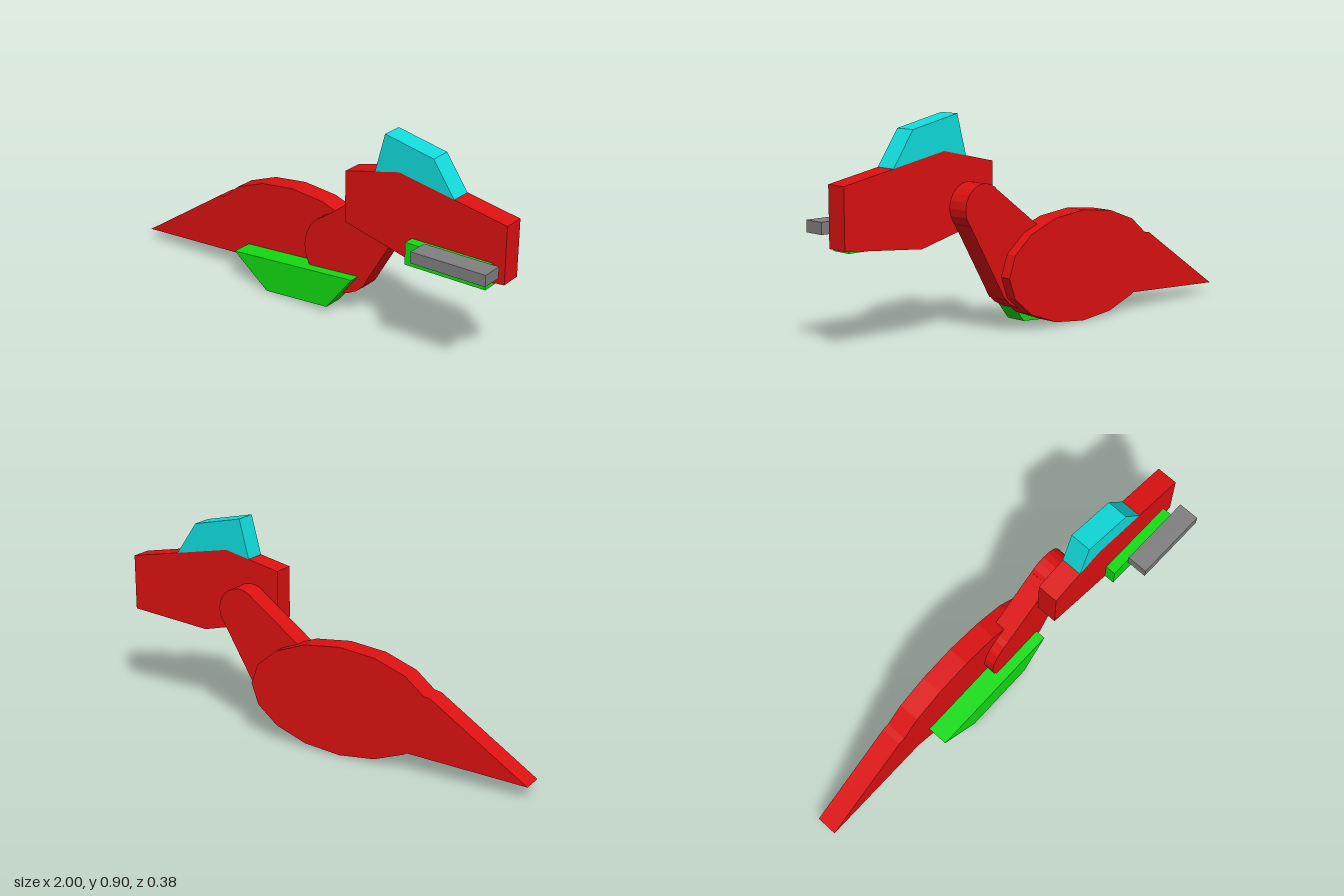
import * as THREE from 'three';

const T = 0.095; // thickness of every slab

export function createModel() {
  const group = new THREE.Group();
  const paint = (name, color) => {
    const m = new THREE.MeshStandardMaterial({ color });
    m.name = name;
    return m;
  };
  const red = paint('red', 0xdd1111);
  const green = paint('green', 0x11dd11);
  const cyan = paint('cyan', 0x11dddd);
  const gray = paint('gray', 0x808080);

  // Flat slab cut from an outline in x/y, its back face at z
  const slab = (name, material, points, z) => {
    const shape = new THREE.Shape(points.map(([x, y]) => new THREE.Vector2(x, y)));
    const geometry = new THREE.ExtrudeGeometry(shape, { depth: T, bevelEnabled: false });
    const mesh = new THREE.Mesh(geometry, material);
    mesh.name = name;
    mesh.position.z = z;
    group.add(mesh);
  };
  const ellipse = (cx, cy, rx, ry, n) => Array.from({ length: n }, (_, i) => {
    const a = (i / n) * Math.PI * 2;
    return [cx + rx * Math.cos(a), cy + ry * Math.sin(a)];
  });
  const rect = (x0, y0, x1, y1) => [[x0, y0], [x1, y0], [x1, y1], [x0, y1]];

  // Rear layer: oval body and pointed tail
  slab('body', red, ellipse(-0.15, 0.241, 0.433, 0.237, 16), -0.19);
  slab('tail', red, [[-1, 0.053], [-0.45, 0.082], [-0.3, 0.2], [-0.5, 0.348], [-0.57, 0.335]], -0.19);

  // Neck: tapered bar with a round joint at each end
  const neckZ = -0.142;
  slab('neck', red, [[0, 0.377], [0.26, 0.143], [0.449, 0.465], [0.301, 0.599]], neckZ);
  slab('lowerNeckJoint', red, ellipse(0.13, 0.262, 0.175, 0.174, 20), neckZ);
  slab('upperNeckJoint', red, ellipse(0.375, 0.532, 0.1, 0.1, 20), neckZ);

  // Belly plate in front of the body
  slab('bellyPlate', green, [[-0.4, 0.145], [-0.22, 0.003], [0.11, 0.027], [0.24, 0.192]], -0.095);

  // Head and crest
  const headZ = -0.046;
  slab('head', red, [[0.24, 0.48], [0.62, 0.385], [1, 0.42], [1, 0.667], [0.5, 0.763], [0.24, 0.705]], headZ);
  slab('crest', cyan, [[0.385, 0.737], [0.5, 0.763], [0.76, 0.713], [0.66, 0.858], [0.43, 0.908]], headZ);

  // Jaw and the bar in front of it
  slab('jaw', green, rect(0.57, 0.4, 0.945, 0.497), 0.001);
  slab('jawBar', gray, rect(0.66, 0.468, 1, 0.517), 0.096);

  return group;
}
